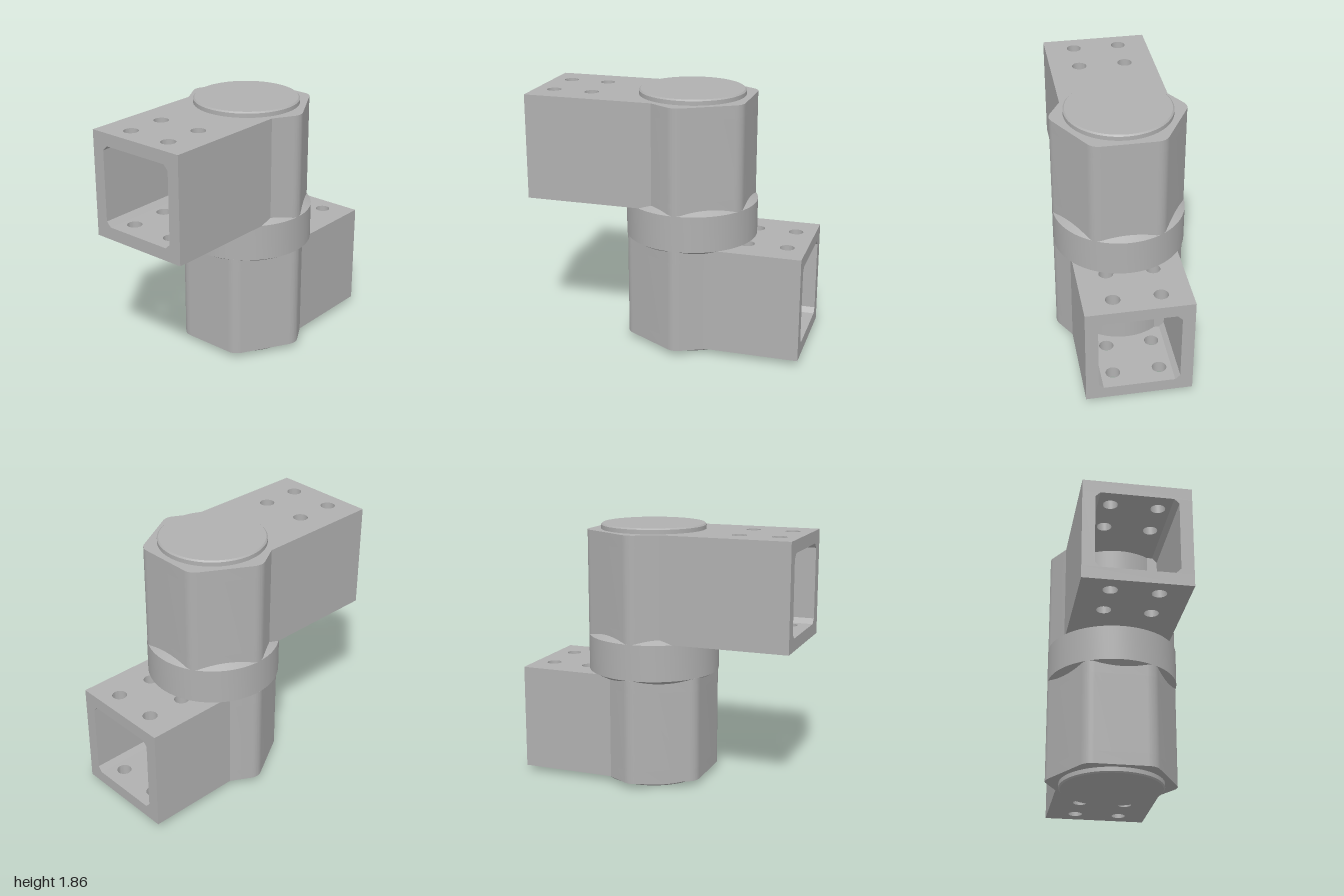
import * as THREE from 'three';
import { toCreasedNormals } from 'three/addons/utils/BufferGeometryUtils.js';

const AXIS_X = 0.12;      // pivot axis position
const HEIGHT = 0.76;      // height of one arm
const WALL = 0.09;        // arm wall thickness
const HALF = 0.38;        // half width of an arm
const INNER = 0.29;       // half width of the cavity
const BARREL = 0.38;      // barrel radius at the end of the cavity

const steel = new THREE.MeshStandardMaterial({ color: 0xb0b0b0 });
steel.name = 'grey steel';

function part(name, geometry) {
  const mesh = new THREE.Mesh(toCreasedNormals(geometry, 0.4), steel);
  mesh.name = name;
  return mesh;
}

function lathe(points) {
  return new THREE.LatheGeometry(points.map(([r, y]) => new THREE.Vector2(r, y)), 96);
}

// Plan of an arm: rounded hexagonal knuckle joined to a straight bar
function armOutline(length, hollow) {
  const shape = new THREE.Shape();
  shape.moveTo(length, -HALF);
  if (hollow) {
    const a = Math.asin(0.215 / BARREL), end = BARREL * Math.cos(a);
    shape.lineTo(length, -INNER);
    shape.lineTo(end, -INNER);
    shape.lineTo(end, -0.215);
    shape.absarc(0, 0, BARREL, -a, a, false);
    shape.lineTo(end, INNER);
    shape.lineTo(length, INNER);
  }
  shape.lineTo(length, HALF);
  const hex = [[0.19, HALF], [0, 0.49], [-0.425, 0.245], [-0.425, -0.245], [0, -0.49], [0.19, -HALF]]
    .map(([x, y]) => new THREE.Vector2(x, y));
  shape.lineTo(hex[0].x, hex[0].y);
  for (let i = 1; i < 5; i++) {
    const toward = (q) => q.clone().sub(hex[i]).setLength(0.058).add(hex[i]);
    const p = toward(hex[i - 1]), q = toward(hex[i + 1]);
    shape.lineTo(p.x, p.y);
    shape.quadraticCurveTo(hex[i].x, hex[i].y, q.x, q.y);
  }
  shape.lineTo(hex[5].x, hex[5].y);
  shape.closePath();
  return shape;
}

function extrudeUp(shape, y, depth) {
  return new THREE.ExtrudeGeometry(shape, { depth, bevelEnabled: false, curveSegments: 16 })
    .rotateX(-Math.PI / 2).translate(0, y, 0);
}

// One hollow arm, standing on y = 0 around the pivot axis
function makeArm(name, length) {
  const arm = new THREE.Group();
  arm.name = name;

  // Plates with four bolt holes each
  for (const [label, y] of [['outerPlate', 0], ['innerPlate', HEIGHT - WALL]]) {
    const plate = armOutline(length, false);
    for (const inset of [0.14, 0.425]) {
      for (const z of [-0.167, 0.167]) {
        plate.holes.push(new THREE.Path().absarc(length - inset, z, 0.052, 0, Math.PI * 2, true));
      }
    }
    arm.add(part(label, extrudeUp(plate, y, WALL)));
  }

  // Side walls and knuckle around the cavity
  arm.add(part('sideWalls', extrudeUp(armOutline(length, true), WALL, HEIGHT - 2 * WALL)));

  // Chamfered corners along the cavity
  const start = 0.313, c = 0.035;
  for (const side of [-1, 1]) {
    for (const [y, up] of [[WALL, 1], [HEIGHT - WALL, -1]]) {
      const corner = new THREE.Shape([
        new THREE.Vector2(side * INNER, y),
        new THREE.Vector2(side * (INNER - c), y),
        new THREE.Vector2(side * INNER, y + up * c),
      ]);
      const strip = new THREE.ExtrudeGeometry(corner, { depth: length - start, bevelEnabled: false })
        .rotateY(Math.PI / 2).translate(start, 0, 0);
      arm.add(part('cavityCorner', strip));
    }
  }

  // Pivot cap with a small bevel
  arm.add(part('pivotCap', lathe([[0, -0.04], [0.368, -0.04], [0.378, -0.03], [0.378, 0], [0, 0]])));
  return arm;
}

export function createModel() {
  const model = new THREE.Group();
  model.name = 'swivelJoint';

  const lower = makeArm('lowerArm', 1 - AXIS_X);
  lower.position.set(AXIS_X, 0.04, 0);

  const upper = makeArm('upperArm', 1 + AXIS_X);
  upper.rotation.z = Math.PI;
  upper.position.set(AXIS_X, 1.82, 0);

  // Collar between the arms, with conical ends running into the knuckles
  const collar = part('collar', lathe([
    [0, 0.745], [0.38, 0.745], [0.475, 0.8], [0.475, 1.06], [0.38, 1.115], [0, 1.115],
  ]));
  collar.position.x = AXIS_X;

  model.add(lower, upper, collar);
  return model;
}
